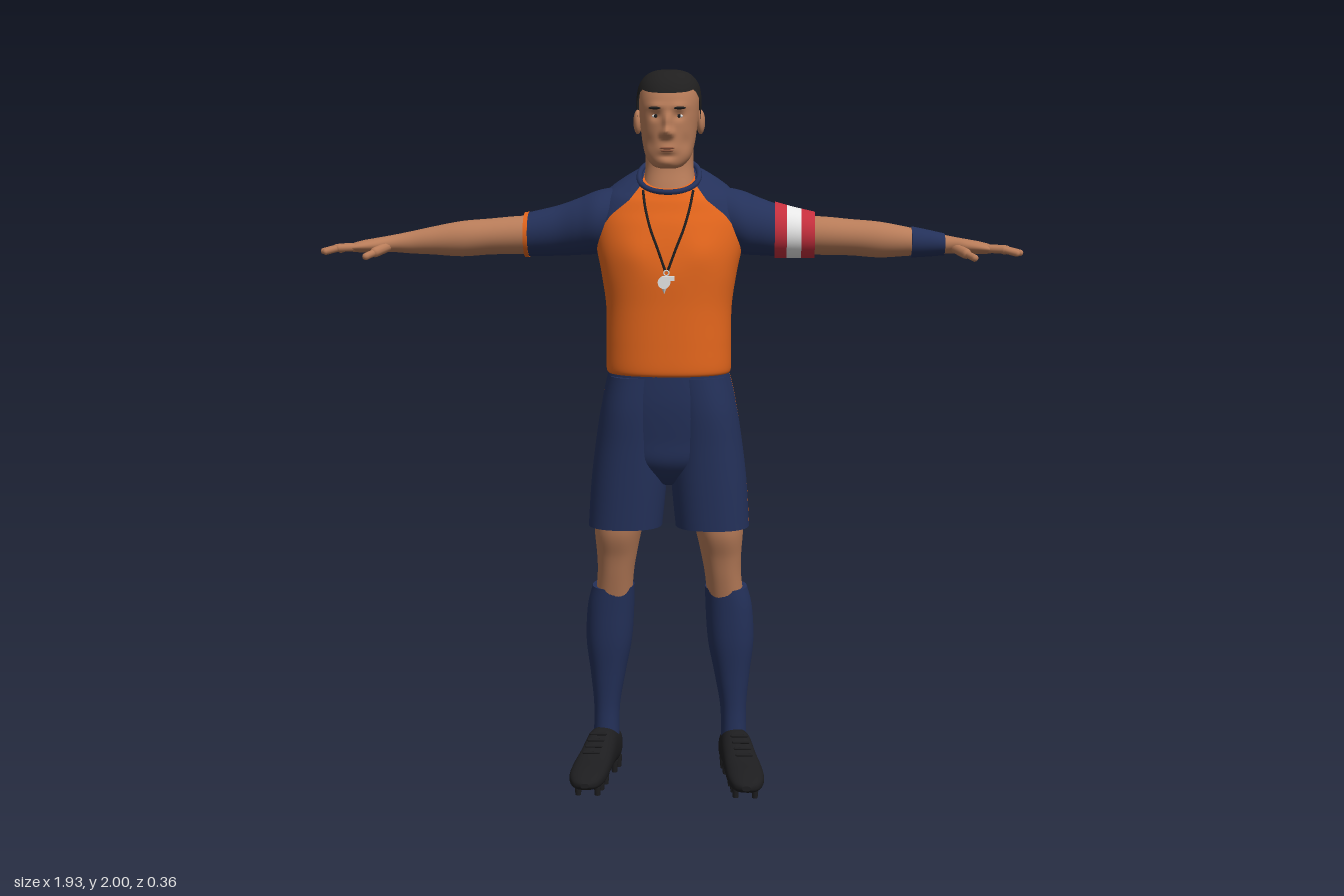
import * as THREE from 'three';

const mat = (name, color, double) => {
  const m = new THREE.MeshStandardMaterial({ color });
  m.name = name;
  if (double) m.side = THREE.DoubleSide;
  return m;
};

// Catmull-Rom blend of table rows at parameter u
function sample(table, u) {
  const i = Math.min(Math.floor(u), table.length - 2), t = u - i;
  const row = (k) => table[Math.max(0, Math.min(table.length - 1, k))];
  return table[i].map((b, c) => {
    const a = row(i - 1)[c], d = row(i + 1)[c], e = row(i + 2)[c];
    return 0.5 * (2 * b + (d - a) * t + (2 * a - 5 * b + 4 * d - e) * t * t + (3 * b - a - 3 * d + e) * t ** 3);
  });
}

// Closed skin through cross-sections, with flat end caps, always facing outwards
function loft(table, point, segs = 48, sub = 8) {
  const pos = [], idx = [], rows = (table.length - 1) * sub;
  const ring = (u) => {
    const r = sample(table, u);
    return Array.from({ length: segs }, (_, j) => point(r, (j / segs) * Math.PI * 2));
  };
  for (let i = 0; i <= rows; i++) pos.push(...ring(i / sub));
  for (let i = 0; i < rows; i++) for (let j = 0; j < segs; j++) {
    const a = i * segs + j, b = i * segs + (j + 1) % segs;
    idx.push(a, a + segs, b, b, a + segs, b + segs);
  }
  for (const end of [0, 1]) {
    const r = ring(end * (table.length - 1)), base = pos.length;
    pos.push(...r, [0, 1, 2].map((k) => r.reduce((s, p) => s + p[k], 0) / segs));
    for (let j = 0; j < segs; j++) {
      const a = base + j, b = base + (j + 1) % segs;
      idx.push(base + segs, ...(end ? [b, a] : [a, b]));
    }
  }
  let volume = 0;
  const v = idx.map((i) => new THREE.Vector3(...pos[i]));
  for (let i = 0; i < v.length; i += 3) volume += v[i].dot(v[i + 1].clone().cross(v[i + 2]));
  if (volume < 0) idx.reverse();
  const g = new THREE.BufferGeometry();
  g.setAttribute('position', new THREE.Float32BufferAttribute(pos.flat(), 3));
  g.setIndex(idx);
  g.computeVertexNormals();
  return g;
}

// Cross-section rules: upright body, sideways arm, lengthwise shoe
const pw = (v, e) => Math.sign(v) * Math.abs(v) ** e;
const upright = ([y, rx, zf, zb, tilt = 0, cx = 0], a) => {
  const dz = ((zf - zb) / 2) * pw(Math.sin(a), 0.88);
  return [cx + rx * pw(Math.cos(a), 0.88), y + tilt * dz, (zf + zb) / 2 + dz];
};
const sideways = ([x, cy, cz, ry, rz], a) => [x, cy + ry * Math.cos(a), cz + rz * Math.sin(a)];
const lengthwise = ([z, cx, rx, yb, yt], a) =>
  [cx + rx * pw(Math.cos(a), 0.8), (yb + yt) / 2 + ((yt - yb) / 2) * pw(Math.sin(a), 0.8), z];

// Push front (side 1) or back (side -1) along z by soft bumps [x, y, depth, sizeX, sizeY]
function sculpt(g, side, bumps) {
  const p = g.attributes.position, n = g.attributes.normal;
  for (let i = 0; i < p.count; i++) {
    const w = Math.max(0, Math.min(1, n.getZ(i) * side * 2));
    let d = 0;
    for (const [x, y, h, sx, sy] of bumps)
      d += h * Math.exp(-(((p.getX(i) - x) / sx) ** 2) - ((p.getY(i) - y) / sy) ** 2);
    p.setZ(i, p.getZ(i) + d * w * side);
  }
  g.computeVertexNormals();
  return g;
}

// Split a surface along f(x, y, z) = 0 into [negative, positive] parts
function cut(g, f) {
  const P = g.attributes.position, N = g.attributes.normal;
  return [1, -1].map((sign) => {
    const pos = [], nor = [];
    for (let t = 0; t < g.index.count; t += 3) {
      const tri = [0, 1, 2].map((k) => {
        const i = g.index.getX(t + k), p = new THREE.Vector3().fromBufferAttribute(P, i);
        return { p, n: new THREE.Vector3().fromBufferAttribute(N, i), d: sign * f(p.x, p.y, p.z) };
      });
      const poly = [];
      tri.forEach((a, k) => {
        const b = tri[(k + 1) % 3];
        if (a.d <= 0) poly.push(a);
        if ((a.d <= 0) !== (b.d <= 0)) {
          const s = a.d / (a.d - b.d);
          poly.push({ p: a.p.clone().lerp(b.p, s), n: a.n.clone().lerp(b.n, s).normalize() });
        }
      });
      for (let k = 2; k < poly.length; k++) for (const q of [poly[0], poly[k - 1], poly[k]]) {
        pos.push(...q.p.toArray()); nor.push(...q.n.toArray());
      }
    }
    const out = new THREE.BufferGeometry();
    out.setAttribute('position', new THREE.Float32BufferAttribute(pos, 3));
    out.setAttribute('normal', new THREE.Float32BufferAttribute(nor, 3));
    out.setIndex([...Array(pos.length / 3).keys()]);
    return out;
  });
}

function mirror(g) {
  const m = g.clone().scale(-1, 1, 1);
  m.setIndex([...m.index.array].reverse());
  return m;
}
const line = (pts, t) => {
  const i = Math.max(1, pts.findIndex((p) => p[0] >= t) < 0 ? pts.length - 1 : pts.findIndex((p) => p[0] >= t));
  const [a, b] = [pts[i - 1], pts[i]], s = Math.max(0, Math.min(1, (t - a[0]) / (b[0] - a[0])));
  return a[1] + (b[1] - a[1]) * s;
};
const ball = (x, y, z, sx, sy, sz) => new THREE.SphereGeometry(1, 20, 14).scale(sx, sy, sz).translate(x, y, z);
const tube = (pts, r, closed = false) =>
  new THREE.TubeGeometry(new THREE.CatmullRomCurve3(pts.map((p) => new THREE.Vector3(...p)), closed), 48, r, 8, closed);
function finger(a, b, r) {
  const A = new THREE.Vector3(...a), d = new THREE.Vector3(...b).sub(A);
  const q = new THREE.Quaternion().setFromUnitVectors(new THREE.Vector3(0, 1, 0), d.clone().normalize());
  return new THREE.CapsuleGeometry(r, d.length(), 5, 12).applyQuaternion(q).translate(...A.addScaledVector(d, 0.5).toArray());
}
// Height of the front surface at x, y
function frontZ(g, x, y) {
  const p = g.attributes.position;
  let best = 1, z = 0;
  for (let i = 0; i < p.count; i++) {
    const d = Math.hypot(p.getX(i) - x, p.getY(i) - y);
    if (p.getZ(i) > -0.02 && d < best) { best = d; z = p.getZ(i); }
  }
  return z;
}

export function createModel() {
  const model = new THREE.Group();
  const skin = mat('skin', 0xb87c59), orange = mat('shirt orange', 0xe2651c, true), navy = mat('kit navy', 0x24315a, true);
  const black = mat('shoe black', 0x1d1d1f), hair = mat('hair', 0x201f1f, true), red = mat('band red', 0xc42f3d, true);
  const white = mat('white', 0xe6e6e6, true), lip = mat('lip', 0x92583f);
  const add = (name, g, m) => {
    const mesh = new THREE.Mesh(g, m);
    mesh.name = name;
    model.add(mesh);
  };
  const pair = (name, g, m) => { add('left' + name, g, m); add('right' + name, mirror(g), m); };

  // Shirt body with raglan shoulders
  const collar = [1.715, 0.082, 0.042, -0.118, -0.55];
  const torso = loft([[1.175, 0.164, 0.11, -0.136, 0], [1.19, 0.172, 0.118, -0.142, 0], [1.26, 0.172, 0.117, -0.145, 0],
    [1.36, 0.173, 0.114, -0.153, 0], [1.45, 0.186, 0.113, -0.164, 0], [1.52, 0.2, 0.1, -0.173, 0], [1.58, 0.204, 0.083, -0.177, 0],
    [1.63, 0.198, 0.066, -0.173, -0.1], [1.672, 0.172, 0.055, -0.16, -0.25], [1.698, 0.128, 0.048, -0.14, -0.42], collar], upright, 72);
  sculpt(torso, -1, [[0, 1.57, -0.014, 0.03, 0.1], [0.085, 1.58, 0.006, 0.05, 0.06], [-0.085, 1.58, 0.006, 0.05, 0.06]]);
  sculpt(torso, 1, [[0.09, 1.51, 0.008, 0.05, 0.05], [-0.09, 1.51, 0.008, 0.05, 0.05]]);
  const seam = [[1.46, 0.235], [1.52, 0.202], [1.57, 0.185], [1.61, 0.155], [1.65, 0.105], [1.69, 0.075], [1.76, 0.06]];
  const [body, shoulders] = cut(torso, (x, y) => Math.abs(x) - line(seam, y));
  add('shirtBody', body, orange);
  add('shirtShoulders', shoulders, navy);
  add('collar', tube(Array.from({ length: 16 }, (_, i) => upright(collar, i * Math.PI / 8)), 0.008, true), navy);

  // Sleeves, cuff trim, armband and wristband
  pair('Sleeve', loft([[0.1, 1.615, -0.065, 0.075, 0.08], [0.15, 1.6, -0.065, 0.084, 0.09], [0.2, 1.587, -0.066, 0.087, 0.098],
    [0.25, 1.575, -0.071, 0.079, 0.086], [0.31, 1.563, -0.08, 0.07, 0.073], [0.395, 1.552, -0.087, 0.061, 0.064]], sideways), navy);
  add('rightCuffTrim', mirror(loft([[0.393, 1.552, -0.087, 0.063, 0.066], [0.405, 1.551, -0.087, 0.062, 0.065]], sideways, 48, 1)), orange);
  const [stripe, edges] = cut(loft([[0.29, 1.566, -0.077, 0.078, 0.082], [0.34, 1.559, -0.083, 0.071, 0.074],
    [0.4, 1.552, -0.087, 0.064, 0.067]], sideways), (x) => Math.abs(x - 0.343) - 0.02);
  add('armbandStripe', stripe, white);
  add('armbandEdges', edges, red);
  add('wristband', loft([[0.665, 1.534, -0.066, 0.043, 0.046], [0.71, 1.531, -0.063, 0.037, 0.04], [0.755, 1.528, -0.058, 0.03, 0.037]], sideways), navy);

  // Bare arms and hands
  pair('Arm', loft([[0.34, 1.553, -0.088, 0.052, 0.056], [0.42, 1.55, -0.085, 0.053, 0.059], [0.5, 1.546, -0.078, 0.05, 0.056],
    [0.58, 1.54, -0.07, 0.049, 0.052], [0.66, 1.535, -0.066, 0.039, 0.042], [0.72, 1.53, -0.062, 0.031, 0.034],
    [0.77, 1.527, -0.055, 0.024, 0.032], [0.81, 1.523, -0.044, 0.021, 0.041], [0.85, 1.52, -0.035, 0.017, 0.046],
    [0.878, 1.517, -0.032, 0.012, 0.043], [0.885, 1.516, -0.032, 0.005, 0.03]], sideways), skin);
  [[0.87, 0, 0.908, 0.016, 0.942, 0.028], [0.877, -0.022, 0.92, -0.012, 0.955, -0.005], [0.873, -0.044, 0.918, -0.042, 0.953, -0.038],
    [0.862, -0.065, 0.897, -0.073, 0.924, -0.077]].forEach(([x, z, x2, z2, x3, z3], i) => {
    pair('FingerBase' + i, finger([x, 1.518, z], [x2, 1.517, z2], 0.0105), skin);
    pair('FingerTip' + i, finger([x2, 1.517, z2], [x3, 1.508, z3], 0.009), skin);
  });
  pair('ThumbBase', finger([0.785, 1.518, -0.03], [0.808, 1.506, 0.015], 0.014), skin);
  pair('ThumbTip', finger([0.808, 1.506, 0.015], [0.828, 1.496, 0.044], 0.01), skin);

  // Shorts with side stripes
  const side = (x, y, z) => Math.max(Math.abs(z + 0.018) - 0.008, 0.11 - Math.abs(x));
  const pelvis = cut(loft([[1.2, 0.162, 0.11, -0.137], [1.1, 0.185, 0.11, -0.155], [1, 0.19, 0.099, -0.152], [0.93, 0.15, 0.088, -0.135],
    [0.875, 0.06, 0.04, -0.085], [0.86, 0.02, 0, -0.04]], upright), side);
  const legs = cut(loft([[1.17, 0.085, 0.107, -0.135, 0, 0.08], [1.08, 0.092, 0.108, -0.155, 0, 0.096], [0.98, 0.1, 0.1, -0.155, 0, 0.104],
    [0.87, 0.105, 0.093, -0.145, 0, 0.112], [0.745, 0.103, 0.085, -0.125, 0, 0.122]], upright), side);
  add('shortsStripeTop', pelvis[0], orange);
  add('shortsTop', pelvis[1], navy);
  pair('ShortsStripe', legs[0], orange);
  pair('ShortsLeg', legs[1], navy);

  // Legs and socks
  pair('Leg', loft([[0.82, 0.08, 0.075, -0.11, 0, 0.13], [0.73, 0.066, 0.07, -0.105, 0, 0.142], [0.66, 0.056, 0.045, -0.1, 0, 0.147],
    [0.6, 0.051, 0.028, -0.11, 0, 0.152], [0.52, 0.052, 0.005, -0.125, 0, 0.16]], upright), skin);
  pair('Sock', loft([[0.562, 0.059, 0.014, -0.132, 0, 0.16], [0.5, 0.066, 0.008, -0.145, 0, 0.168], [0.4, 0.065, -0.002, -0.153, 0, 0.174],
    [0.3, 0.05, -0.018, -0.148, 0, 0.178], [0.2, 0.037, -0.03, -0.137, 0, 0.182], [0.1, 0.037, -0.03, -0.135, 0, 0.184]], upright), navy);

  // Boots with laces, heel loop and studs
  pair('Boot', loft([[-0.152, 0.181, 0.022, 0.04, 0.1], [-0.14, 0.181, 0.037, 0.028, 0.118], [-0.09, 0.184, 0.044, 0.025, 0.13],
    [-0.03, 0.192, 0.045, 0.028, 0.146], [0.02, 0.203, 0.048, 0.028, 0.118], [0.07, 0.215, 0.052, 0.022, 0.092],
    [0.12, 0.222, 0.05, 0.02, 0.077], [0.16, 0.224, 0.036, 0.026, 0.062], [0.178, 0.224, 0.012, 0.036, 0.05]], lengthwise), black);
  pair('HeelLoop', new THREE.TorusGeometry(0.014, 0.004, 6, 14).rotateY(Math.PI / 2).translate(0.181, 0.112, -0.147), black);
  for (let i = 0; i < 4; i++)
    pair('Lace' + i, finger([0.18 + i * 0.005, 0.137 - i * 0.012, i * 0.02], [0.222 + i * 0.005, 0.137 - i * 0.012, i * 0.02], 0.004), black);
  for (const z of [-0.125, -0.075, 0.03, 0.08, 0.125]) for (const s of [-1, 1])
    pair('Stud', new THREE.CylinderGeometry(0.011, 0.008, 0.035, 10).translate(0.2 + z * 0.16 + s * 0.027, 0.0175, z), black);

  // Neck and head
  add('neck', loft([[1.64, 0.085, 0.035, -0.118], [1.69, 0.073, 0.022, -0.114], [1.74, 0.066, 0.01, -0.11], [1.8, 0.066, 0.01, -0.105],
    [1.84, 0.06, 0, -0.1]], upright), skin);
  const skull = [[1.735, 0.02, 0.06, 0.02], [1.742, 0.04, 0.073, -0.01], [1.765, 0.06, 0.079, -0.05], [1.8, 0.07, 0.081, -0.09],
    [1.84, 0.076, 0.081, -0.115], [1.88, 0.08, 0.082, -0.127], [1.92, 0.081, 0.078, -0.128], [1.955, 0.074, 0.062, -0.118],
    [1.98, 0.055, 0.036, -0.093], [1.992, 0.03, 0.006, -0.06], [1.995, 0.002, -0.025, -0.029]];
  const both = (list) => list.flatMap(([x, ...r]) => [[x, ...r], [-x, ...r]]);
  const head = sculpt(loft(skull, upright, 112, 7), 1, [[0, 1.83, 0.026, 0.013, 0.013], [0, 1.857, 0.016, 0.01, 0.024], [0, 1.786, 0.006, 0.024, 0.012],
    [0, 1.768, -0.004, 0.02, 0.006], [0, 1.75, 0.006, 0.022, 0.012],
    ...both([[0.03, 1.899, 0.006, 0.024, 0.009], [0.031, 1.874, -0.009, 0.014, 0.011], [0.05, 1.805, -0.005, 0.015, 0.02], [0.013, 1.825, 0.008, 0.007, 0.008]])]);
  add('head', head, skin);
  pair('Ear', ball(0.086, 1.86, -0.032, 0.012, 0.033, 0.021).rotateZ(0), skin);
  const hairline = [[-0.1, 1.795], [-0.065, 1.81], [-0.05, 1.86], [-0.02, 1.865], [0, 1.87], [0.012, 1.915], [0.04, 1.945], [0.062, 1.938], [0.08, 1.934]];
  add('hair', cut(loft(skull.map(([y, rx, zf, zb]) => [y + 0.005, rx + 0.007, zf + 0.005, zb - 0.008]), upright, 64, 6),
    (x, y, z) => line(hairline, z) - y)[0], hair);

  // Face details
  const face = (x, y, lift, ...size) => ball(x, y, frontZ(head, x, y) + lift, ...size);
  pair('Eye', face(0.031, 1.874, -0.003, 0.011, 0.0055, 0.006), white);
  pair('Iris', face(0.031, 1.874, 0.001, 0.005, 0.005, 0.003), black);
  pair('Eyebrow', face(0.032, 1.895, -0.002, 0.018, 0.004, 0.006).rotateZ(0), hair);
  add('upperLip', face(0, 1.789, -0.001, 0.02, 0.0035, 0.004), lip);
  add('lowerLip', face(0, 1.782, -0.001, 0.017, 0.004, 0.004), lip);

  // Whistle on a neck cord
  const onChest = (x, y) => [x, y, frontZ(torso, x, y) + 0.004];
  pair('Cord', tube([[0.068, 1.675], [0.06, 1.63], [0.045, 1.575], [0.024, 1.52], [0.003, 1.462]].map(([x, y]) => onChest(x, y)), 0.0035), black);
  add('whistleRing', new THREE.TorusGeometry(0.007, 0.002, 6, 14).translate(0, 1.458, 0.122), white);
  add('whistleBody', new THREE.CylinderGeometry(0.017, 0.017, 0.016, 20).rotateX(Math.PI / 2).translate(-0.006, 1.433, 0.124), white);
  add('whistleMouthpiece', new THREE.BoxGeometry(0.03, 0.012, 0.014).translate(0.007, 1.444, 0.124), white);
  add('whistleTip', new THREE.ConeGeometry(0.008, 0.02, 12).rotateX(Math.PI).translate(-0.006, 1.411, 0.123), white);
  return model;
}
